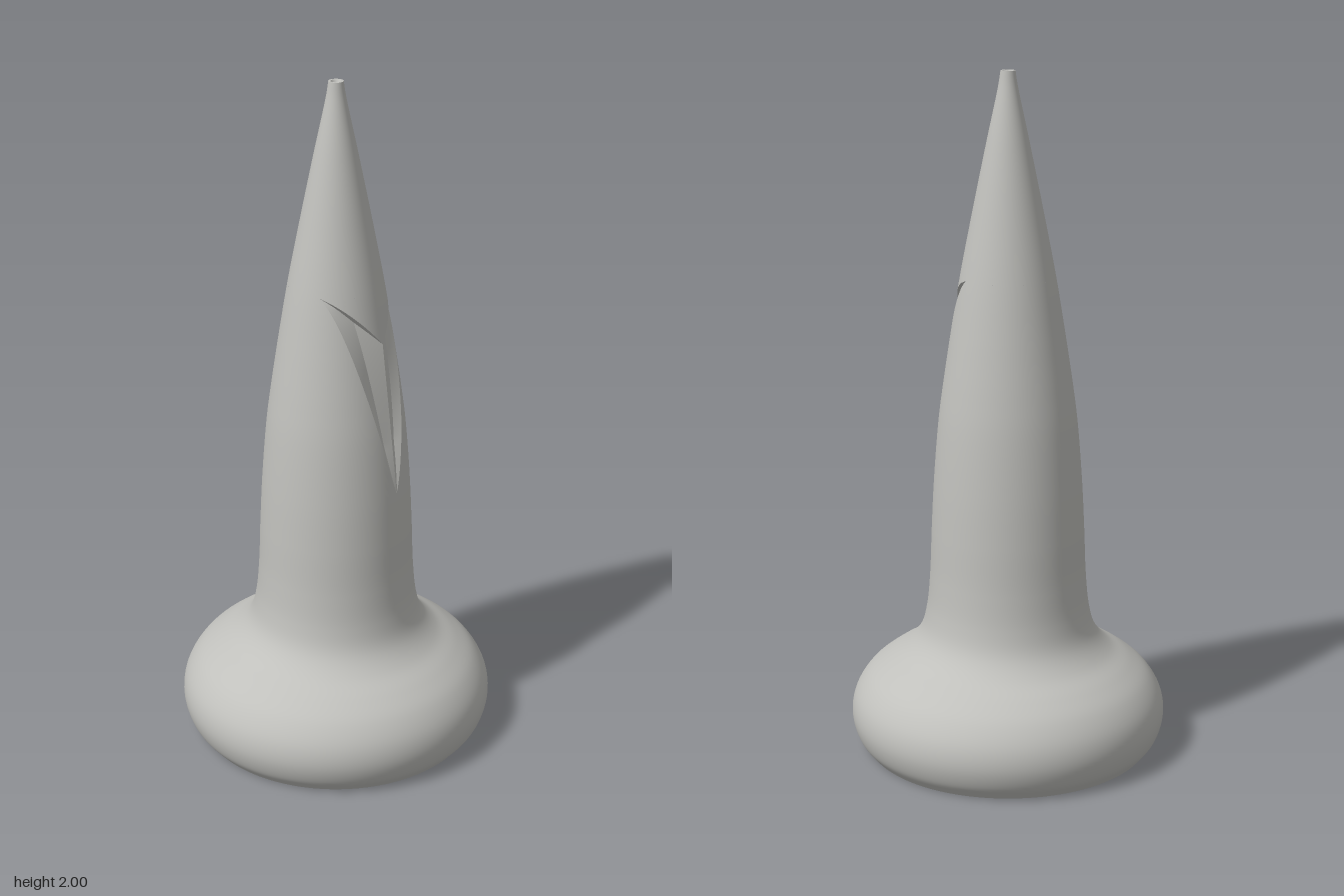
import * as THREE from 'three';

const grey = new THREE.MeshStandardMaterial({ color: 0xc0c0bc });
grey.name = 'warm grey';

// Silhouette as [radius, height], from the base rim to the tip
const profile = new THREE.CatmullRomCurve3([
  [0.42, 0], [0.45, 0.04], [0.466, 0.1], [0.457, 0.16], [0.42, 0.22], [0.365, 0.265],
  [0.31, 0.3], [0.275, 0.335], [0.255, 0.37], [0.24, 0.43], [0.23, 0.53], [0.224, 0.67],
  [0.216, 0.82], [0.201, 1], [0.188, 1.1], [0.173, 1.2], [0.162, 1.27], [0.137, 1.42],
  [0.102, 1.6], [0.061, 1.8], [0.027, 1.96], [0.021, 2],
].map(([r, y]) => new THREE.Vector3(r, y, 0)), false, 'centripetal').getPoints(420);

function radius(y) {
  let i = 1;
  while (i < profile.length - 1 && profile[i].y < y) i++;
  const a = profile[i - 1], b = profile[i];
  return THREE.MathUtils.lerp(a.x, b.x, THREE.MathUtils.clamp((y - a.y) / (b.y - a.y), 0, 1));
}

// Notch limits
const BOTTOM = 0.82, LIP = 1.27, TOP = 1.42, HALF = 0.131, VALLEY = 0.55;
const outerX = y => HALF * Math.pow(Math.max(0, (y - BOTTOM) / (TOP - BOTTOM)), 0.77);
const lipX = y => HALF * Math.max(0, (y - LIP) / (TOP - LIP));
const bodyZ = (x, y) => Math.sqrt(radius(y) ** 2 - x * x);

// Shallow notch floor: a centre ridge, a valley on each side, then the outer edge
function floorZ(t, y) {
  const k = (y - BOTTOM) / (LIP - BOTTOM), xo = outerX(y);
  const ridge = THREE.MathUtils.lerp(radius(BOTTOM), radius(LIP), k);
  const dip = 0.012 * Math.min(1, 3 * k) * Math.min(1, (TOP - y) / 0.05);
  const tent = t < VALLEY ? t / VALLEY : (1 - t) / (1 - VALLEY);
  return Math.min(bodyZ(t * xo, y), THREE.MathUtils.lerp(ridge, bodyZ(xo, y), t) - dip * tent);
}

// Grid surface from point(u, v), with an optional normal rule
function sheet(nu, nv, point, normal) {
  const pos = [], nor = [], idx = [], w = nu + 1;
  for (let j = 0; j <= nv; j++) for (let i = 0; i <= nu; i++) {
    pos.push(...point(i / nu, j / nv));
    if (normal) nor.push(...normal(i / nu, j / nv));
    if (i < nu && j < nv) {
      const a = j * w + i;
      idx.push(a, a + 1, a + w, a + 1, a + w + 1, a + w);
    }
  }
  const g = new THREE.BufferGeometry();
  g.setAttribute('position', new THREE.Float32BufferAttribute(pos, 3));
  g.setIndex(idx);
  if (normal) g.setAttribute('normal', new THREE.Float32BufferAttribute(nor, 3));
  else g.computeVertexNormals();
  return g;
}

// Part of the turned body between two heights and two height-dependent angles
function bodySheet(y0, y1, from, to, nu, nv) {
  const yAt = v => THREE.MathUtils.lerp(y0, y1, v);
  const angle = (u, y) => THREE.MathUtils.lerp(from(y), to(y), u);
  return sheet(nu, nv, (u, v) => {
    const y = yAt(v), a = angle(u, y), r = radius(y);
    return [r * Math.sin(a), y, r * Math.cos(a)];
  }, (u, v) => {
    const y = yAt(v), a = angle(u, y), lo = Math.max(0, y - 0.008), hi = Math.min(2, y + 0.008);
    const slope = (radius(hi) - radius(lo)) / (hi - lo), l = Math.hypot(1, slope);
    return [Math.sin(a) / l, -slope / l, Math.cos(a) / l];
  });
}

export function createModel() {
  const group = new THREE.Group();
  group.name = 'notchedSpike';
  const add = (name, geometry) => {
    const mesh = new THREE.Mesh(geometry, grey);
    mesh.name = name;
    group.add(mesh);
  };
  const openAngle = y => Math.asin(Math.min(1, outerX(y) / radius(y)));
  const lipAngle = y => Math.asin(Math.min(1, lipX(y) / radius(y)));
  const zero = () => 0, full = () => Math.PI * 2;

  // Turned body, open at the notch
  add('baseAndLowerShaft', bodySheet(0, BOTTOM, zero, full, 96, 110));
  add('middleShaft', bodySheet(BOTTOM, TOP, openAngle, y => Math.PI * 2 - openAngle(y), 96, 48));
  add('pointedLip', bodySheet(LIP, TOP, y => -lipAngle(y), lipAngle, 32, 12));
  add('upperSpike', bodySheet(TOP, 2, zero, full, 96, 40));

  // Notch floor and the underside of the lip, mirrored
  for (const side of [1, -1]) {
    const label = side > 0 ? 'left' : 'right';
    const strip = range => sheet(8, 48, (u, v) => {
      const y = THREE.MathUtils.lerp(BOTTOM, TOP, v), xo = outerX(y);
      const [t0, t1] = range(xo > 0 ? Math.min(1, lipX(y) / xo) : 0);
      const t = THREE.MathUtils.lerp(t0, t1, side > 0 ? u : 1 - u);
      return [side * t * xo, y, floorZ(t, y)];
    });
    add(label + 'NotchRidgeFace', strip(t => [Math.min(t, VALLEY), VALLEY]));
    add(label + 'NotchOuterFace', strip(t => [Math.max(t, VALLEY), 1]));
    add(label + 'LipUnderside', sheet(1, 12, (u, v) => {
      const y = THREE.MathUtils.lerp(LIP, TOP, v), x = lipX(y);
      const inner = floorZ(Math.min(1, x / outerX(y)), y);
      return [side * x, y, THREE.MathUtils.lerp(inner, bodyZ(x, y), side > 0 ? 1 - u : u)];
    }));
  }

  // Flat foot and the dimpled tip
  const cap = (name, points) => {
    const g = new THREE.LatheGeometry(points.map(p => new THREE.Vector2(...p)), 96).toNonIndexed();
    g.computeVertexNormals();
    add(name, g);
  };
  cap('foot', [[0, 0], [radius(0), 0]]);
  cap('tipDimple', [[radius(2), 2], [0.015, 2], [0.008, 1.987], [0, 1.987]]);
  return group;
}
